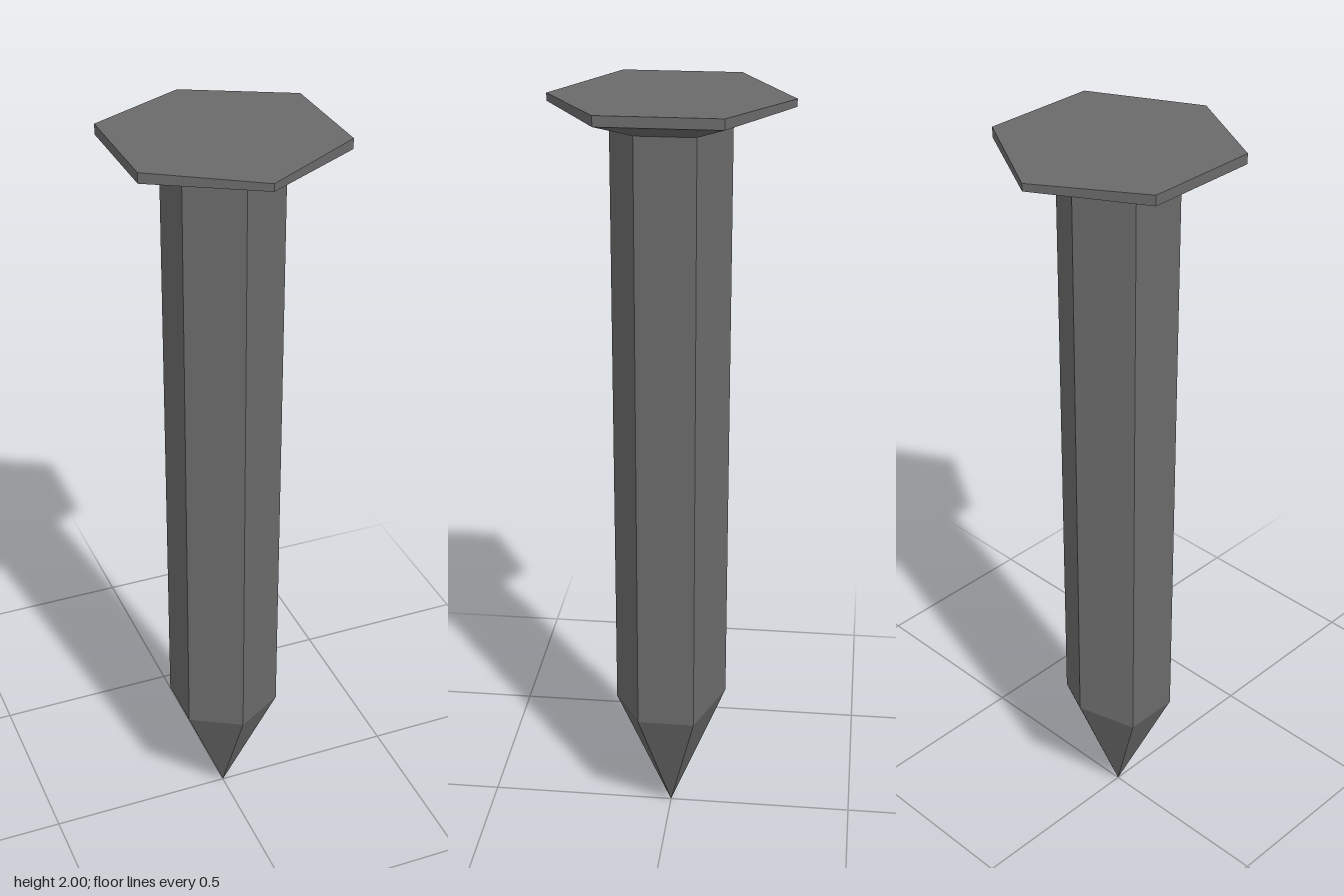
import * as THREE from 'three';

const SIDES = 6;

// Hexagonal ring with a corner facing +z; heights may differ per corner.
function ring(radius, heights) {
  return Array.from({ length: SIDES }, (_, i) => {
    const a = (i / SIDES) * Math.PI * 2;
    const y = Array.isArray(heights) ? heights[i] : heights;
    return [radius * Math.sin(a), y, radius * Math.cos(a)];
  });
}

// Flat-shaded skin through rings listed from bottom to top.
function skin(rings) {
  const pos = [];
  for (let r = 0; r < rings.length - 1; r++) {
    const lo = rings[r], hi = rings[r + 1];
    for (let i = 0; i < SIDES; i++) {
      const j = (i + 1) % SIDES;
      if (lo[i].join() !== lo[j].join()) pos.push(...lo[i], ...lo[j], ...hi[j]);
      if (hi[i].join() !== hi[j].join()) pos.push(...lo[i], ...hi[j], ...hi[i]);
    }
  }
  const g = new THREE.BufferGeometry();
  g.setAttribute('position', new THREE.Float32BufferAttribute(pos, 3));
  g.computeVertexNormals();
  return g;
}

export function createModel() {
  const model = new THREE.Group();
  model.name = 'nail';
  const iron = new THREE.MeshStandardMaterial({ color: 0x6a6a6a, flatShading: true });
  iron.name = 'dark iron';

  const add = (name, rings) => {
    const mesh = new THREE.Mesh(skin(rings), iron);
    mesh.name = name;
    model.add(mesh);
  };

  // Shared edge loops, slightly uneven like hand-forged metal
  const point = ring(0, 0);
  const shoulder = ring(0.15, [0.33, 0.33, 0.33, 0.37, 0.33, 0.33]);
  const neck = ring(0.15, [1.938, 1.925, 1.925, 1.938, 1.935, 1.935]);
  const rimBottom = ring(0.3, 1.974);
  const rimTop = ring(0.3, [1.993, 2, 2, 1.993, 2, 2]);

  add('tip', [point, shoulder]);
  add('shaft', [shoulder, neck]);
  // Flared underside, thin rim and nearly flat top
  add('head', [neck, rimBottom, rimTop, ring(0, 1.995)]);
  return model;
}
